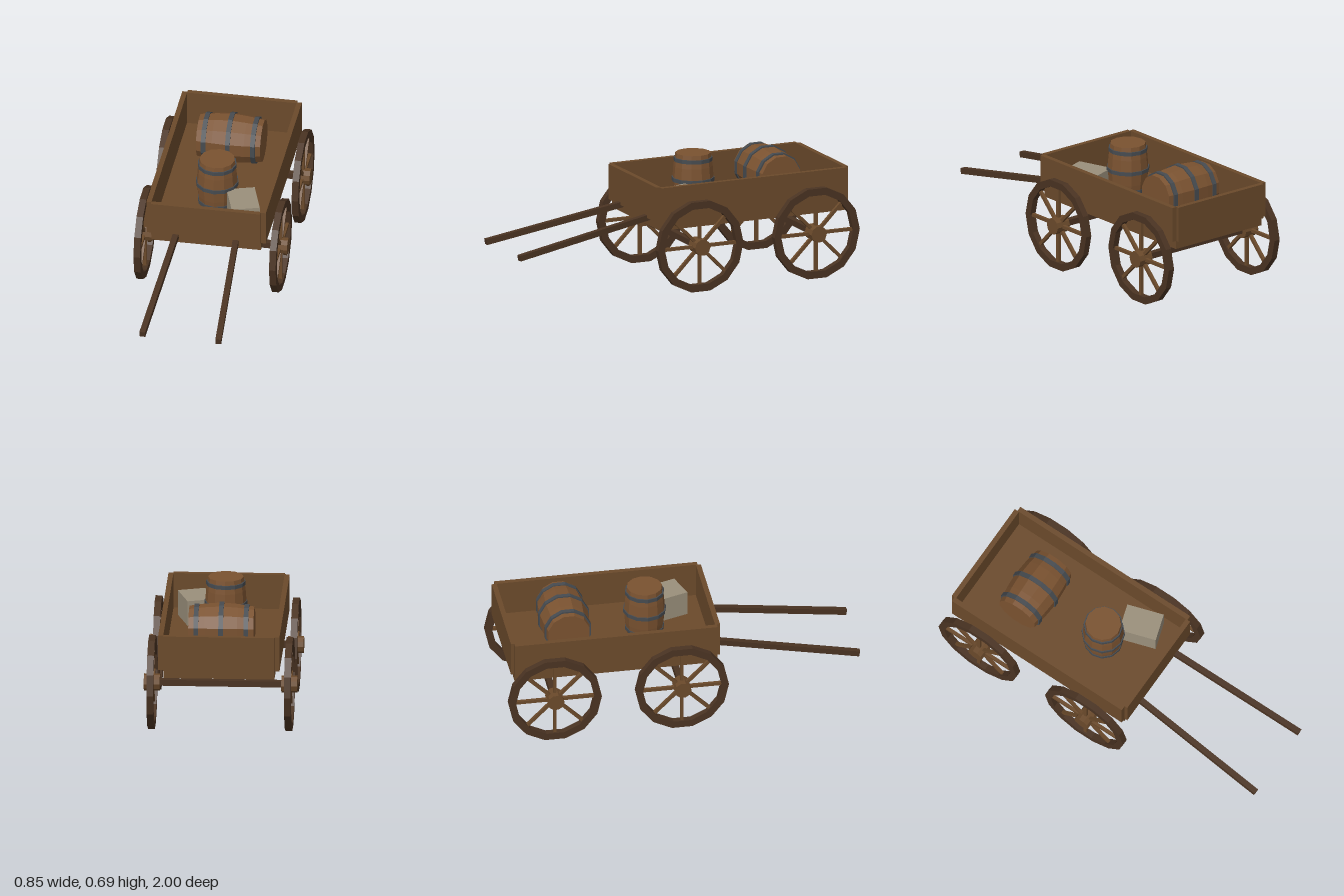
import * as THREE from 'three';

const paint = (name, color) => new THREE.MeshStandardMaterial({ name, color, flatShading: true });

export function createModel() {
  const boardWood = paint('boardWood', 0x6b4a2b);
  const darkWood = paint('darkWood', 0x4a3322);
  const barrelWood = paint('barrelWood', 0x7a5230);
  const iron = paint('iron', 0x464b50);
  const cloth = paint('cloth', 0x9a8f7b);

  const cart = new THREE.Group();
  cart.name = 'cart';

  function add(parent, name, geometry, material, x = 0, y = 0, z = 0) {
    const mesh = new THREE.Mesh(geometry, material);
    mesh.name = name;
    mesh.position.set(x, y, z);
    parent.add(mesh);
    return mesh;
  }
  const box = (parent, name, material, w, h, d, x, y, z) =>
    add(parent, name, new THREE.BoxGeometry(w, h, d), material, x, y, z);

  // Ring of rectangular section around the y axis
  function ring(inner, outer, width, sides) {
    const h = width / 2;
    const profile = [[inner, -h], [outer, -h], [outer, h], [inner, h], [inner, -h]];
    return new THREE.LatheGeometry(profile.map(([r, y]) => new THREE.Vector2(r, y)), sides);
  }

  // Open box bed
  const bedZ = -0.386;
  box(cart, 'floor', boardWood, 0.614, 0.048, 1.13, 0, 0.371, bedZ);
  for (const s of [-1, 1]) {
    box(cart, 'sideBoard', boardWood, 0.028, 0.199, 1.136, s * 0.321, 0.4945, bedZ);
    box(cart, 'endBoard', boardWood, 0.614, 0.199, 0.028, 0, 0.4945, bedZ + s * 0.572);
  }

  // Axles and spoked wheels
  for (const z of [-0.739, -0.027]) {
    box(cart, 'axle', darkWood, 0.7, 0.034, 0.034, 0, 0.256, z);
    for (const s of [-1, 1]) {
      const wheel = new THREE.Group();
      wheel.name = 'wheel';
      wheel.position.set(s * 0.38, 0.255, z);
      cart.add(wheel);
      add(wheel, 'rim', ring(0.22, 0.261, 0.037, 14).rotateZ(Math.PI / 2), darkWood);
      add(wheel, 'hub', new THREE.CylinderGeometry(0.047, 0.047, 0.088, 10).rotateZ(Math.PI / 2), boardWood);
      for (let i = 0; i < 4; i++) {
        box(wheel, 'spokePair', boardWood, 0.018, 0.45, 0.018, 0, 0, 0).rotation.x = i * Math.PI / 4;
      }
    }
  }

  // Pulling shafts, spreading and dropping toward the front
  for (const s of [-1, 1]) {
    const start = new THREE.Vector3(s * 0.167, 0.398, 0.18);
    const end = new THREE.Vector3(s * 0.213, 0.257, 0.997);
    const shaft = box(cart, 'shaft', darkWood, 0.032, 0.032, start.distanceTo(end), 0, 0, 0);
    shaft.position.addVectors(start, end).multiplyScalar(0.5);
    shaft.lookAt(end);
  }

  // Hooped barrel with its axis along y
  function barrel(name) {
    const group = new THREE.Group();
    group.name = name;
    const profile = [[0, -0.18], [0.12, -0.18], [0.133, -0.09], [0.14, 0], [0.133, 0.09], [0.12, 0.18], [0, 0.18]];
    add(group, 'staves', new THREE.LatheGeometry(profile.map(([r, y]) => new THREE.Vector2(r, y)), 12), barrelWood);
    for (const [y, r] of [[-0.138, 0.133], [0, 0.146], [0.138, 0.133]]) {
      add(group, 'hoop', ring(r - 0.015, r, 0.026, 12), iron, 0, y, 0);
    }
    cart.add(group);
    return group;
  }
  const lying = barrel('lyingBarrel');
  lying.rotation.set(Math.PI / 12, 0, Math.PI / 2);
  lying.position.set(0, 0.538, -0.624);
  const standing = barrel('standingBarrel');
  standing.scale.setScalar(0.82);
  standing.position.set(0, 0.5426, -0.17);

  // Pale bundle beside the standing barrel
  box(cart, 'bundle', cloth, 0.157, 0.142, 0.21, 0.17, 0.466, -0.031).rotation.y = 0.31;

  return cart;
}
